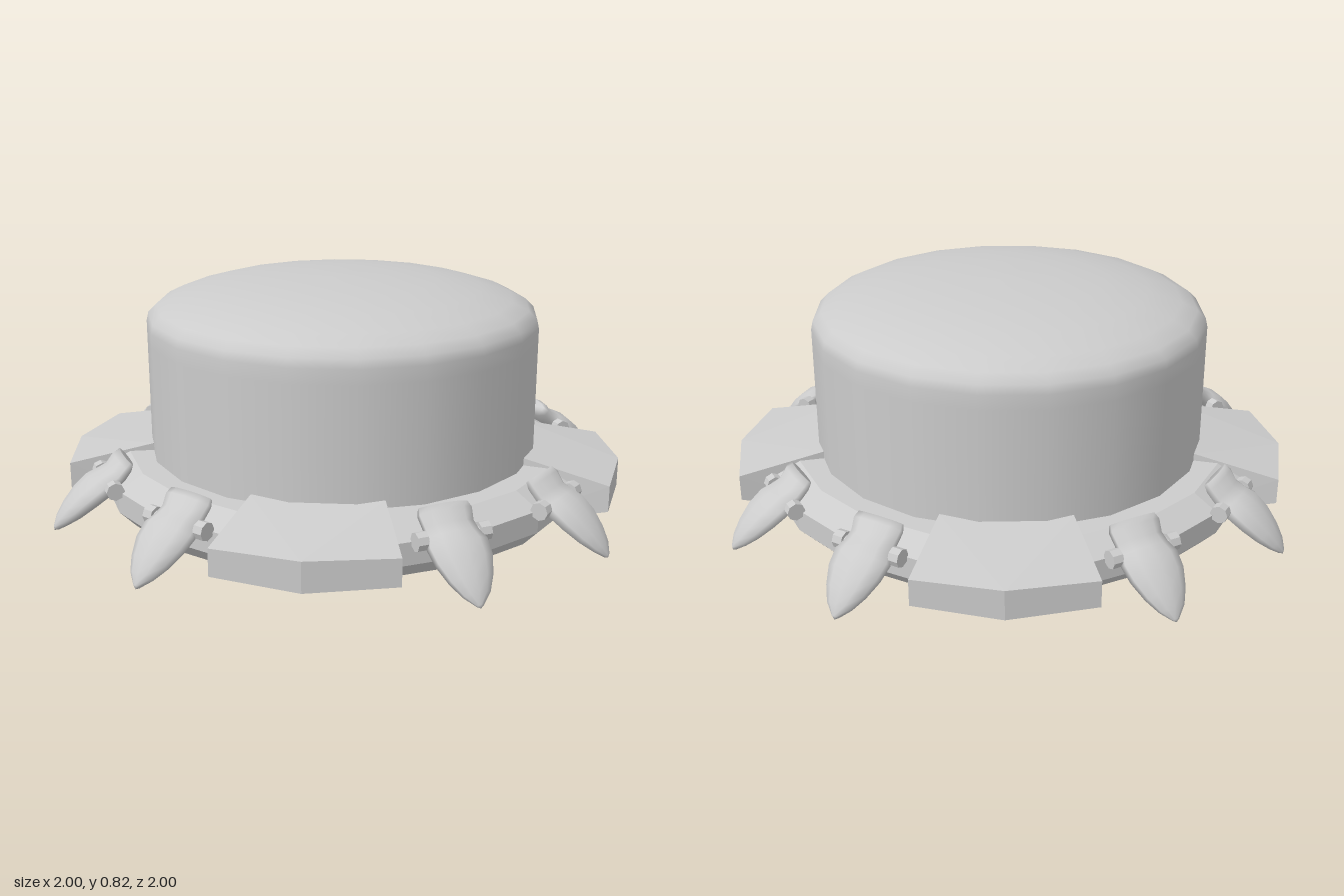
import * as THREE from 'three';
import { ConvexGeometry } from 'three/addons/geometries/ConvexGeometry.js';

const smooth = new THREE.MeshStandardMaterial({ color: 0xcccccc });
const flat = new THREE.MeshStandardMaterial({ color: 0xcccccc, flatShading: true });
const SIDES = 20;

function part(name, geometry, material, parent) {
  const mesh = new THREE.Mesh(geometry, material);
  mesh.name = name;
  parent.add(mesh);
  return mesh;
}

function lathe(profile, start) {
  return new THREE.LatheGeometry(profile.map(([r, y]) => new THREE.Vector2(r, y)), SIDES, start);
}

// Wedge-shaped foot, pointing outwards along +z
function footGeometry() {
  const half = [
    [0.21, 0.25, 0.64], [0.2, 0.005, 0.58],   // inner top, inner bottom
    [0.283, 0.19, 0.92], [0.283, 0.1, 0.92],  // outer top, outer bottom
  ];
  const points = [
    new THREE.Vector3(0, 0.19, 0.976), new THREE.Vector3(0, 0.09, 0.976),
    new THREE.Vector3(0, 0, 0.59),
  ];
  for (const side of [-1, 1]) {
    for (const [x, y, z] of half) points.push(new THREE.Vector3(side * x, y, z));
  }
  return new ConvexGeometry(points);
}

// Curved claw lofted through oval sections: outward, height, half width, half thickness
function clawGeometry() {
  const sections = [
    [0.785, 0.262, 0.085, 0.02], [0.8, 0.245, 0.092, 0.032], [0.825, 0.212, 0.085, 0.034],
    [0.855, 0.192, 0.088, 0.042], [0.885, 0.175, 0.1, 0.045], [0.93, 0.142, 0.094, 0.042],
    [0.975, 0.102, 0.072, 0.034], [1.01, 0.07, 0.045, 0.022], [1.032, 0.045, 0.012, 0.01],
  ];
  const N = 10, k = Math.SQRT1_2, pos = [], index = [];
  for (const [z, y, w, t] of sections) {
    for (let i = 0; i < N; i++) {
      const a = (i / N) * Math.PI * 2 + Math.PI / 2;
      const s = Math.sin(a) * t * k;
      pos.push(Math.cos(a) * w, y + s, z + s);
    }
  }
  const last = sections.length - 1;
  for (let s = 0; s < last; s++) {
    for (let i = 0; i < N; i++) {
      const a = s * N + i, b = s * N + (i + 1) % N;
      index.push(a, b, b + N, a, b + N, a + N);
    }
  }
  // Notched root and closed tip
  const root = pos.length / 3, tip = root + 1;
  pos.push(0, 0.25, 0.79, 0, 0.038, 1.037);
  for (let i = 0; i < N; i++) {
    const j = (i + 1) % N;
    index.push(root, j, i, tip, last * N + i, last * N + j);
  }
  const g = new THREE.BufferGeometry();
  g.setAttribute('position', new THREE.Float32BufferAttribute(pos, 3));
  g.setIndex(index);
  g.computeVertexNormals();
  return g;
}

export function createModel() {
  const model = new THREE.Group();
  model.name = 'drumWithClaws';

  // Domed drum
  part('drum', lathe([
    [0.68, 0.15], [0.68, 0.62], [0.68, 0.67], [0.673, 0.7], [0.645, 0.728], [0.59, 0.755],
    [0.48, 0.787], [0.33, 0.81], [0.16, 0.822], [0, 0.825],
  ], 0.03), smooth, model);

  // Bevelled base ring with a recessed floor
  part('baseRing', lathe([
    [0, 0.09], [0.73, 0.09], [0.75, 0.05], [0.79, 0.05], [0.842, 0.105],
    [0.842, 0.18], [0.755, 0.225], [0.66, 0.225],
  ], Math.PI / SIDES), flat, model);

  // Four diagonal feet
  const foot = footGeometry();
  for (let i = 0; i < 4; i++) {
    part('foot', foot, flat, model).rotation.y = Math.PI / 4 + i * Math.PI / 2;
  }

  // Eight claws, a pair on each side, each hinged on a pin
  const claw = clawGeometry();
  const pin = new THREE.CylinderGeometry(0.018, 0.018, 0.24, 8).rotateZ(Math.PI / 2);
  const knob = new THREE.CylinderGeometry(0.03, 0.03, 0.035, 8).rotateZ(Math.PI / 2);
  for (let i = 0; i < 4; i++) {
    for (const side of [-1, 1]) {
      const hinge = new THREE.Group();
      hinge.name = 'clawHinge';
      hinge.rotation.y = i * Math.PI / 2 + side * 0.272;
      part('claw', claw, smooth, hinge);
      part('pin', pin, flat, hinge).position.set(0, 0.188, 0.85);
      for (const end of [-1, 1]) {
        part('pinKnob', knob, flat, hinge).position.set(end * 0.105, 0.188, 0.85);
      }
      model.add(hinge);
    }
  }
  return model;
}
